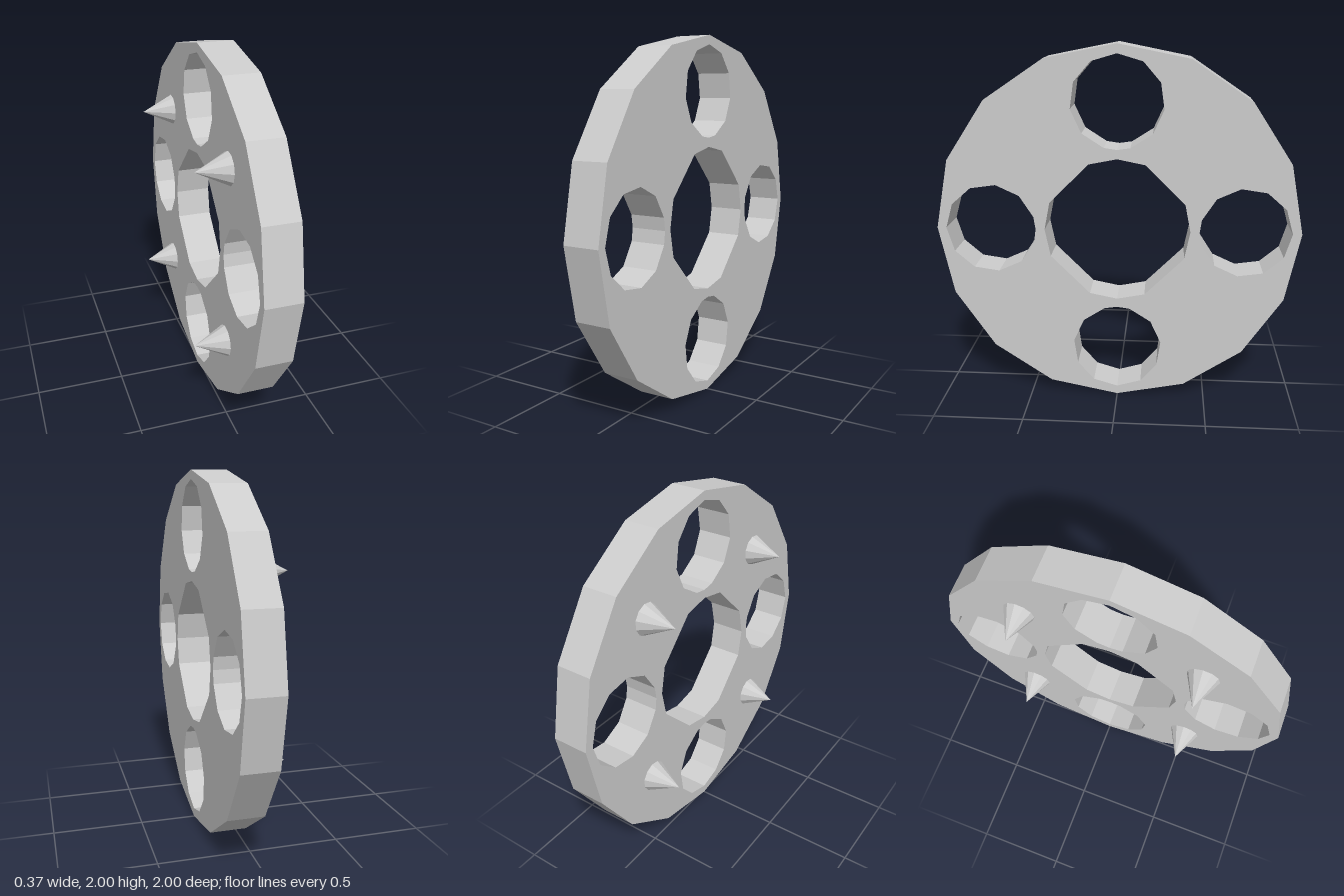
import * as THREE from 'three';

const CENTRE_Y = 1;
const BACK_X = -0.013, FRONT_X = 0.187; // flat sides of the disc
const SPIKE_TIP_X = -0.187;

const rad = THREE.MathUtils.degToRad;

// Points on a circle at the given angles (radians)
function ring(cx, cy, radius, angles) {
  return angles.map(a => new THREE.Vector2(cx + radius * Math.cos(a), cy + radius * Math.sin(a)));
}

function steps(count) {
  return Array.from({ length: count }, (_, i) => (i / count) * Math.PI * 2);
}

export function createModel() {
  const group = new THREE.Group();
  const material = new THREE.MeshStandardMaterial({ color: 0xcccccc, flatShading: true });

  // Sixteen-sided disc
  const outline = new THREE.Shape(ring(0, 0, 1, steps(16)));

  // Central hole: alternating short and long sides
  const centreAngles = [];
  for (let q = 0; q < 4; q++) {
    for (const a of [0, 22.5, 67.5]) centreAngles.push(rad(q * 90 + a));
  }
  outline.holes.push(new THREE.Path(ring(0, 0, 0.4, centreAngles)));

  // Four round holes: eleven steps from the rim, plus a point nearest the centre
  const holeAngles = [...steps(11), Math.PI].sort((a, b) => a - b);
  for (let q = 0; q < 4; q++) {
    const turn = q * Math.PI / 2;
    outline.holes.push(new THREE.Path(
      ring(0.7 * Math.cos(turn), 0.7 * Math.sin(turn), 0.25, holeAngles.map(a => a + turn))));
  }

  const discGeometry = new THREE.ExtrudeGeometry(outline, { depth: FRONT_X - BACK_X, bevelEnabled: false });
  discGeometry.rotateY(Math.PI / 2); // extrude along +x
  discGeometry.translate(BACK_X, CENTRE_Y, 0);
  const disc = new THREE.Mesh(discGeometry, material);
  disc.name = 'disc';
  group.add(disc);

  // Four spikes between the holes, pointing to -x
  const length = BACK_X - SPIKE_TIP_X;
  const spikeGeometry = new THREE.ConeGeometry(0.087, length, 11);
  spikeGeometry.rotateZ(Math.PI / 2);
  for (const y of [-0.5, 0.5]) {
    for (const z of [-0.5, 0.5]) {
      const spike = new THREE.Mesh(spikeGeometry, material);
      spike.name = 'spike';
      spike.position.set(BACK_X - length / 2, CENTRE_Y + y, z);
      group.add(spike);
    }
  }

  return group;
}
